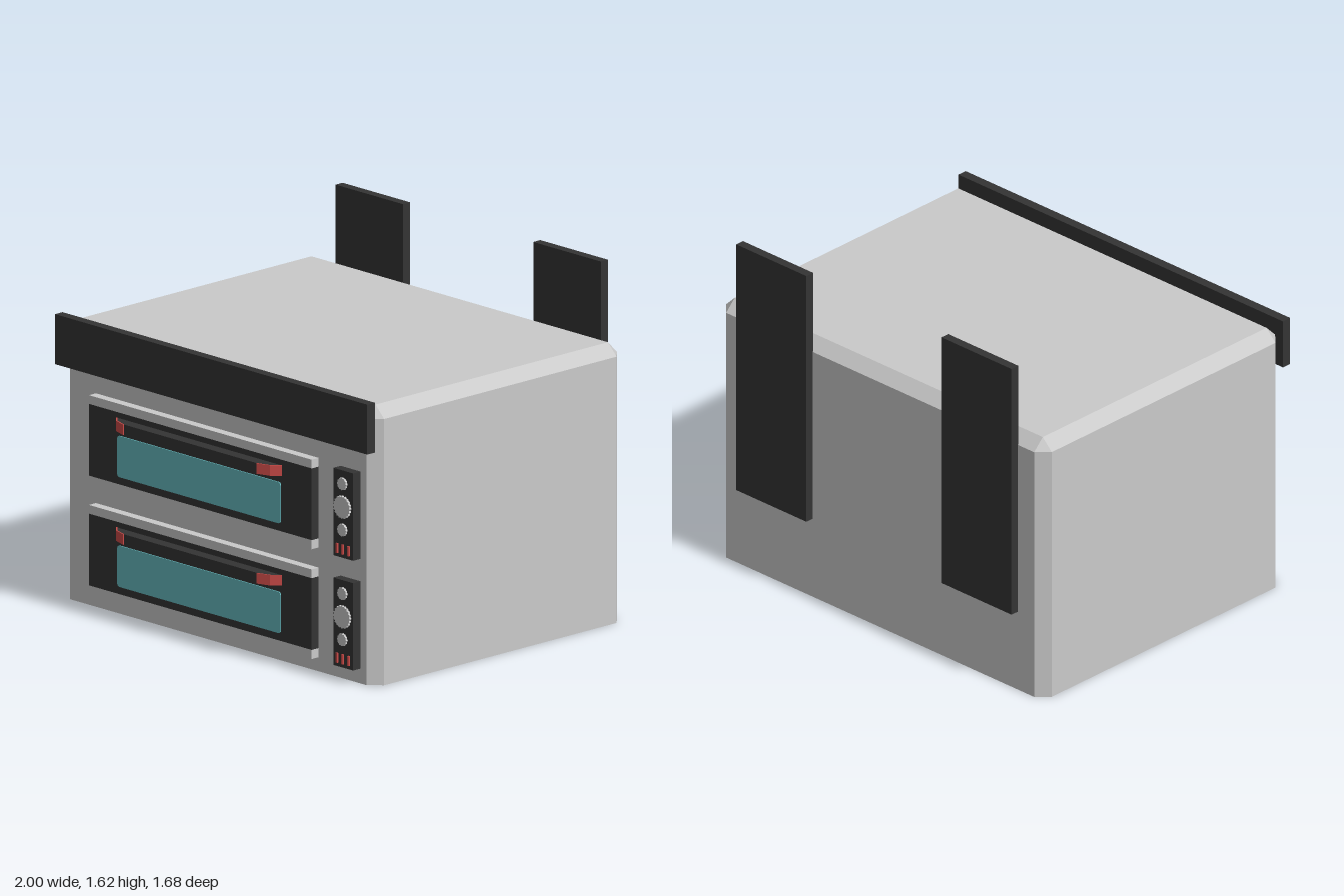
import * as THREE from 'three';
import { ConvexGeometry } from 'three/addons/geometries/ConvexGeometry.js';

const mat = (name, color) => {
  const m = new THREE.MeshStandardMaterial({ color });
  m.name = name;
  return m;
};

export function createModel() {
  const steel = mat('steel grey', 0xcacaca);
  const dark = mat('charcoal', 0x343434);
  const glass = mat('teal glass', 0x67bbc0);
  const red = mat('red', 0xc94a47);
  const root = new THREE.Group();
  root.name = 'deckOven';

  const add = (parent, name, geometry, material) => {
    const mesh = new THREE.Mesh(geometry, material);
    mesh.name = name;
    parent.add(mesh);
    return mesh;
  };
  // Box given by its limits on each axis
  const box = (parent, name, material, x0, x1, y0, y1, z0, z1) =>
    add(parent, name, new THREE.BoxGeometry(x1 - x0, y1 - y0, z1 - z0), material)
      .position.set((x0 + x1) / 2, (y0 + y1) / 2, (z0 + z1) / 2);
  const extrude = (shape, depth) =>
    new THREE.ExtrudeGeometry(shape, { depth, bevelEnabled: false, curveSegments: 5 });
  const polygon = (points) => new THREE.Shape(points.map(([x, y]) => new THREE.Vector2(x, y)));

  // Cabinet with chamfered upright and top edges
  const back = -0.8, front = 0.735, c = 0.055, height = 1.28;
  const points = [];
  for (const sx of [-1, 1]) {
    for (const [z, inward] of [[back, c], [front, -c]]) {
      for (const y of [0, height - c]) {
        points.push(new THREE.Vector3(sx, y, z + inward), new THREE.Vector3(sx * (1 - c), y, z));
      }
      points.push(new THREE.Vector3(sx * (1 - c), height, z + inward));
    }
  }
  add(root, 'cabinet', new ConvexGeometry(points), steel);

  // Fascia across the top front, and the two upright plates at the back
  box(root, 'topFascia', dark, -0.995, 0.995, 1.08, 1.31, 0.733, 0.779);
  for (const s of [-1, 1]) {
    const a = s * 0.415, b = s * 0.845;
    box(root, 'backPlate', dark, Math.min(a, b), Math.max(a, b), 0.39, 1.62, -0.84, -0.797);
  }

  // Rounded window pane
  const w = 0.52, h = 0.095, r = 0.016;
  const pane = new THREE.Shape();
  pane.moveTo(-w + r, -h);
  pane.lineTo(w - r, -h).quadraticCurveTo(w, -h, w, -h + r);
  pane.lineTo(w, h - r).quadraticCurveTo(w, h, w - r, h);
  pane.lineTo(-w + r, h).quadraticCurveTo(-w, h, -w, h - r);
  pane.lineTo(-w, -h + r).quadraticCurveTo(-w, -h, -w + r, -h);
  const paneGeometry = extrude(pane, 0.006);

  // Handle outline seen from above, and the red cover wrapped round one end
  const end = [[0.525, 0.777], [0.488, 0.812], [0.425, 0.832]];
  const mirrored = end.map(([x, z]) => [-x, z]).reverse();
  const barGeometry = extrude(polygon([...end, ...mirrored]), 0.046).rotateX(Math.PI / 2);
  const cover = [...end, [0.425, 0.838], [0.491, 0.817], [0.529, 0.78]];
  const coverGeometry = (s) =>
    extrude(polygon(cover.map(([x, z]) => [s * x, z])), 0.048).rotateX(Math.PI / 2);

  // Knob with a finely notched rim
  const knobGeometry = (radius, teeth) => {
    const rim = [];
    for (let i = 0; i < teeth * 2; i++) {
      const a = (i / teeth) * Math.PI;
      const d = i % 2 ? radius * 0.9 : radius;
      rim.push([Math.cos(a) * d, Math.sin(a) * d]);
    }
    return extrude(polygon(rim), 0.012);
  };
  const bigKnob = knobGeometry(0.053, 20);
  const smallKnob = knobGeometry(0.029, 12);

  // Two identical decks
  [['lowerDeck', 0], ['upperDeck', 0.505]].forEach(([name, y]) => {
    const deck = new THREE.Group();
    deck.name = name;
    deck.position.y = y;
    root.add(deck);

    // Door: dark panel between two steel rails
    box(deck, 'doorPanel', dark, -0.78, 0.64, 0.107, 0.437, 0.733, 0.778);
    box(deck, 'doorBottomRail', steel, -0.78, 0.64, 0.065, 0.107, 0.733, 0.778);
    box(deck, 'doorTopRail', steel, -0.78, 0.64, 0.437, 0.477, 0.733, 0.778);
    add(deck, 'window', paneGeometry, glass).position.set(-0.075, 0.237, 0.777);

    // Handle
    add(deck, 'handleBar', barGeometry, dark).position.set(-0.075, 0.411, 0);
    for (const s of [-1, 1]) {
      add(deck, 'handleEndCover', coverGeometry(s), red).position.set(-0.075, 0.412, 0);
    }

    // Control panel
    box(deck, 'controlPanel', dark, 0.78, 0.906, 0.068, 0.47, 0.733, 0.78);
    add(deck, 'mainKnob', bigKnob, steel).position.set(0.843, 0.303, 0.779);
    for (const ky of [0.198, 0.41]) {
      add(deck, 'smallKnob', smallKnob, steel).position.set(0.843, ky, 0.779);
    }
    for (const x of [0.807, 0.843, 0.88]) {
      box(deck, 'indicator', red, x - 0.005, x + 0.005, 0.085, 0.13, 0.779, 0.788);
    }
  });

  return root;
}
